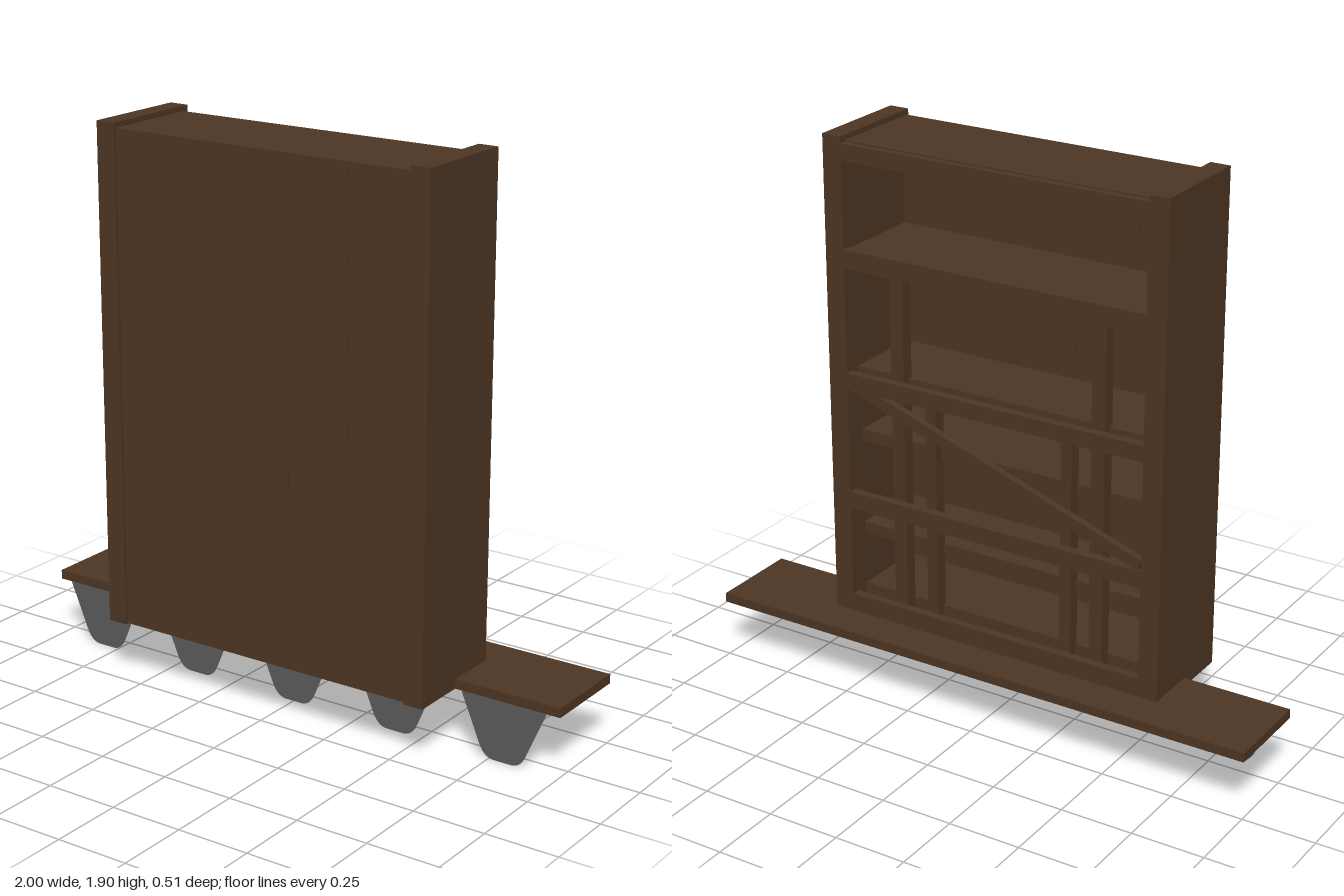
import * as THREE from 'three';

export function createModel() {
  const model = new THREE.Group();
  const wood = new THREE.MeshStandardMaterial({ color: 0x4d3523 });
  wood.name = 'dark wood';
  const iron = new THREE.MeshStandardMaterial({ color: 0x5a5a5a, side: THREE.DoubleSide });
  iron.name = 'grey iron';

  // Box given by its minimum and maximum on each axis
  function board(name, x0, x1, y0, y1, z0, z1) {
    const mesh = new THREE.Mesh(new THREE.BoxGeometry(x1 - x0, y1 - y0, z1 - z0), wood);
    mesh.position.set((x0 + x1) / 2, (y0 + y1) / 2, (z0 + z1) / 2);
    mesh.name = name;
    model.add(mesh);
    return mesh;
  }

  // Base plank
  board('basePlank', -1, 1, 0.205, 0.237, -0.255, 0.062);

  // Side boards
  board('leftSide', 0.553, 0.622, 0.205, 1.903, -0.122, 0.255);
  board('rightSide', -0.622, -0.553, 0.205, 1.903, -0.122, 0.255);

  // Closed face made of five upright planks
  const plankWidth = 1.106 / 5;
  for (let i = 0; i < 5; i++) {
    const x = -0.553 + i * plankWidth;
    board('facePlank', x + 0.001, x + plankWidth - 0.001, 0.207, 1.885, 0.222, 0.245);
  }

  // Full-depth shelves
  const inner = 0.553;
  board('topBoard', -inner, inner, 1.84, 1.885, -0.098, 0.224);
  board('upperShelf', -inner, inner, 1.47, 1.525, -0.1, 0.224);
  board('middleShelf', -inner, inner, 1.07, 1.11, -0.06, 0.224);
  for (const y of [0.84, 0.5, 0.27]) {
    board('lowerShelf', -inner, inner, y, y + 0.04, -0.045, 0.224);
  }

  // Rails across the open side
  for (const [y0, y1] of [[1.825, 1.88], [1.465, 1.53], [1.05, 1.105], [0.62, 0.68], [0.237, 0.3]]) {
    board('rail', -inner, inner, y0, y1, -0.122, -0.09);
  }

  // Upright posts, tall outer pair and short inner pair
  for (const s of [-1, 1]) {
    board('outerPost', s * 0.375 - 0.024, s * 0.375 + 0.024, 0.237, 1.48, -0.09, -0.045);
    board('innerPost', s * 0.255 - 0.02, s * 0.255 + 0.02, 0.237, 1.07, -0.08, -0.035);
  }

  // Diagonal brace
  const brace = new THREE.Mesh(new THREE.BoxGeometry(Math.hypot(1.09, 0.37), 0.04, 0.025), wood);
  brace.name = 'diagonalBrace';
  brace.position.set(0, 0.88, -0.105);
  brace.rotation.z = Math.atan2(0.37, 1.09);
  model.add(brace);

  // Iron bracket: rounded front plate, triangular top plate and central gusset
  const front = new THREE.Shape();
  front.moveTo(-0.153, 0.205);
  front.lineTo(-0.085, 0.045);
  front.quadraticCurveTo(-0.066, 0, -0.03, 0);
  front.lineTo(0.03, 0);
  front.quadraticCurveTo(0.066, 0, 0.085, 0.045);
  front.lineTo(0.153, 0.205);
  const frontGeo = new THREE.ShapeGeometry(front);

  const triangle = (a, b, c) => {
    const g = new THREE.BufferGeometry().setFromPoints([a, b, c].map(p => new THREE.Vector3(...p)));
    g.computeVertexNormals();
    return g;
  };
  const topGeo = triangle([-0.153, 0.203, 0.063], [0, 0.203, -0.14], [0.153, 0.203, 0.063]);
  const gussetGeo = triangle([0, 0.203, 0.063], [0, 0, 0.063], [0, 0.203, -0.14]);

  for (let i = -2; i <= 2; i++) {
    const bracket = new THREE.Group();
    bracket.name = 'bracket';
    const plate = new THREE.Mesh(frontGeo, iron);
    plate.name = 'bracketFront';
    plate.position.z = 0.064;
    const top = new THREE.Mesh(topGeo, iron);
    top.name = 'bracketTop';
    const gusset = new THREE.Mesh(gussetGeo, iron);
    gusset.name = 'bracketGusset';
    bracket.add(plate, top, gusset);
    bracket.position.x = i * 0.4;
    model.add(bracket);
  }
  return model;
}
